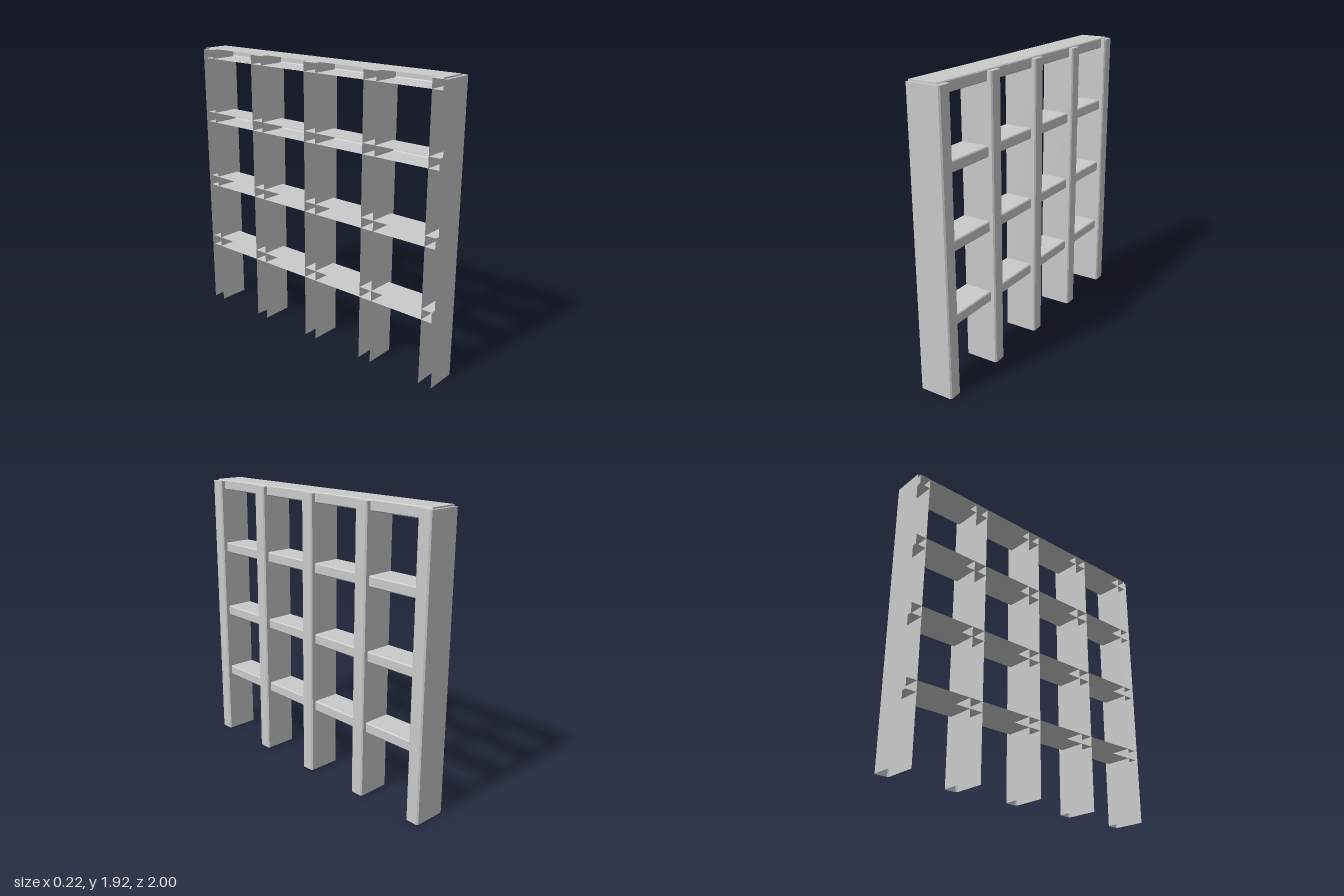
import * as THREE from 'three';

const BACK = -0.112;

// Board with a raised, bevelled front and an open back, running up y from 0.
// edge: depth of the side corners, nose: depth of the front, w: half width, b: half front width
function openBoard(edge, nose, w, b, length, capStart, capEnd) {
  const profile = [[BACK, w], [edge, w], [nose, b], [nose, -b], [edge, -w], [BACK, -w]];
  const pos = [];
  const add = (p, y) => pos.push(p[0], y, p[1]);
  for (let i = 0; i < profile.length - 1; i++) {
    const p = profile[i], q = profile[i + 1];
    add(p, 0); add(q, 0); add(q, length);
    add(p, 0); add(q, length); add(p, length);
  }
  for (let i = 1; i < profile.length - 1; i++) {
    const p = profile[0], q = profile[i], r = profile[i + 1];
    if (capEnd) { add(p, length); add(q, length); add(r, length); }
    if (capStart) { add(p, 0); add(r, 0); add(q, 0); }
  }
  const geo = new THREE.BufferGeometry();
  geo.setAttribute('position', new THREE.Float32BufferAttribute(pos, 3));
  geo.computeVertexNormals();
  return geo;
}

export function createModel() {
  const group = new THREE.Group();
  group.name = 'bookcase';
  // The boards are open shells, so their insides show too
  const grey = new THREE.MeshStandardMaterial({ color: 0xcacaca, side: THREE.DoubleSide });
  grey.name = 'grey';

  // Five uprights, open at the back and underneath
  const uprightGeo = openBoard(0.104, 0.112, 0.047, 0.038, 1.908, false, true);
  for (let i = -2; i <= 2; i++) {
    const upright = new THREE.Mesh(uprightGeo, grey);
    upright.name = 'upright';
    upright.position.z = i * 0.4765;
    group.add(upright);
  }

  // Three shelves and the top board, running through the uprights
  const shelfLength = 1.96;
  const shelfGeo = openBoard(0.074, 0.08, 0.035, 0.028, shelfLength, true, true);
  shelfGeo.rotateX(Math.PI / 2);
  shelfGeo.translate(0, 0, -shelfLength / 2);
  [0.477, 0.953, 1.43, 1.882].forEach((y, i) => {
    const shelf = new THREE.Mesh(shelfGeo, grey);
    shelf.name = i === 3 ? 'topBoard' : 'shelf';
    shelf.position.y = y;
    group.add(shelf);
  });
  return group;
}
